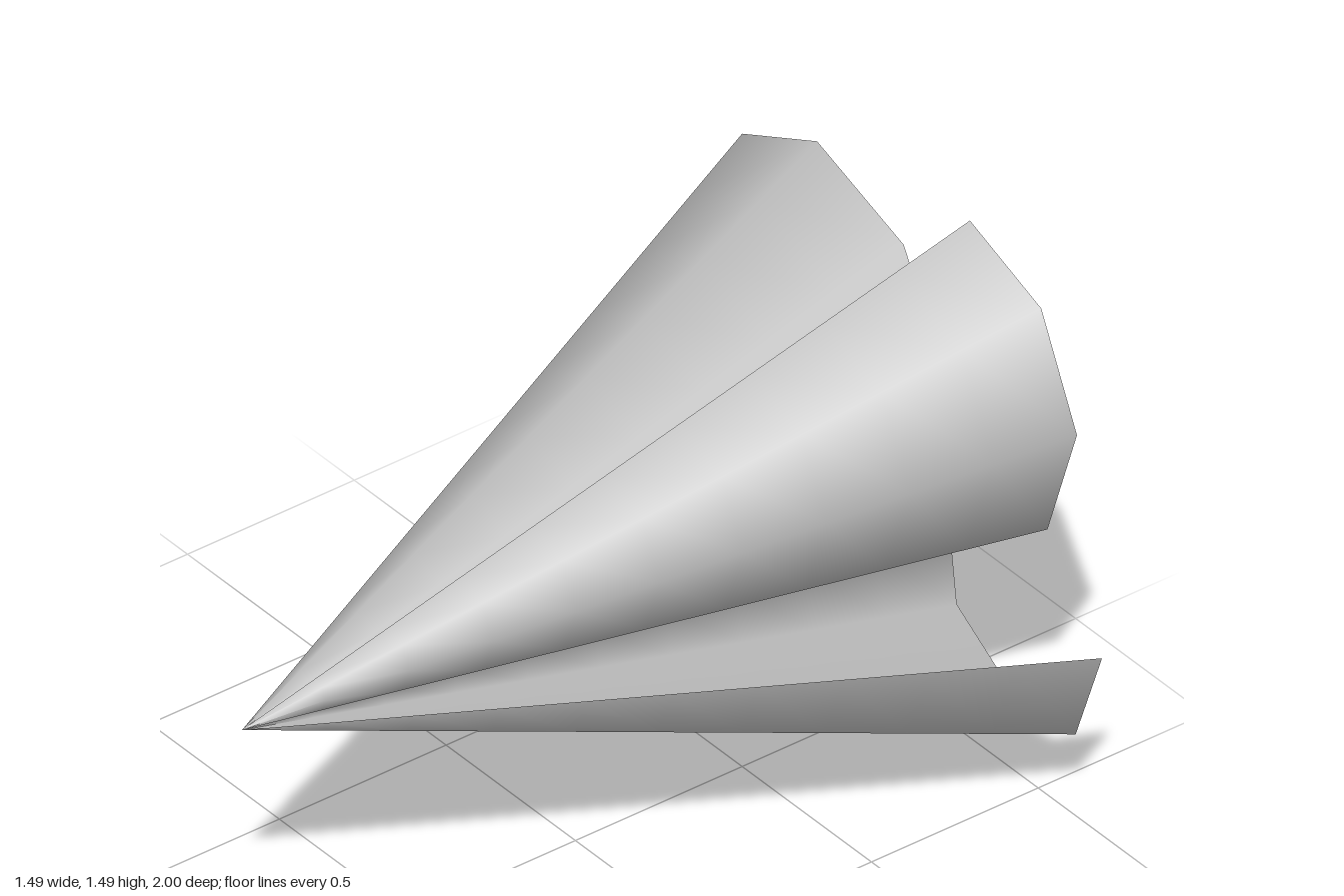
import * as THREE from 'three';

// One hooked blade of the section, running clockwise seen from the front
const BLADE = [
  [0.192, 0.159], [0.39, 0.185], [0.496, 0.354], [0.457, 0.589], // inside of the hook
  [0.236, 0.747],                                               // sharp tip
  [0.512, 0.645], [0.65, 0.355], [0.536, 0.02],                 // outside of the hook
];
const TIP = 4, RINGS = 10, CENTRE_Y = 0.747;

// The blade repeated four times by quarter turns
function sectionPoints() {
  const points = [];
  for (let k = 0; k < 4; k++) {
    for (const [px, py] of BLADE) {
      let x = px, y = py;
      for (let r = 0; r < k; r++) [x, y] = [y, -x];
      points.push(new THREE.Vector3(x, y, -1));
    }
  }
  return points;
}

// Straight sides from the section to the point, smooth except along the tips
function sideGeometry(points) {
  const apex = new THREE.Vector3(0, 0, 1);
  const n = points.length;
  const faceNormals = points.map((a, i) => {
    const b = points[(i + 1) % n];
    return apex.clone().sub(a).cross(b.clone().sub(a)).normalize();
  });
  const cornerNormal = (corner, face) => {
    if (corner % BLADE.length === TIP) return faceNormals[face];
    return faceNormals[(corner + n - 1) % n].clone().add(faceNormals[corner]).normalize();
  };
  const positions = [], normals = [];
  const put = (p, t, normal) => {
    positions.push(...p.clone().lerp(apex, t).toArray());
    normals.push(...normal.toArray());
  };
  for (let i = 0; i < n; i++) {
    const j = (i + 1) % n;
    const a = points[i], b = points[j];
    const na = cornerNormal(i, i), nb = cornerNormal(j, i);
    for (let r = 0; r < RINGS; r++) {
      const t0 = r / RINGS, t1 = (r + 1) / RINGS;
      put(b, t0, nb); put(a, t0, na); put(a, t1, na);
      if (r < RINGS - 1) { put(b, t0, nb); put(a, t1, na); put(b, t1, nb); }
    }
  }
  const geometry = new THREE.BufferGeometry();
  geometry.setAttribute('position', new THREE.Float32BufferAttribute(positions, 3));
  geometry.setAttribute('normal', new THREE.Float32BufferAttribute(normals, 3));
  return geometry;
}

export function createModel() {
  const group = new THREE.Group();
  group.name = 'flutedPoint';
  const grey = new THREE.MeshStandardMaterial({ color: 0xb8b8b8 });
  grey.name = 'grey';
  const points = sectionPoints();

  // Four curled blades meeting at the front point
  const blades = new THREE.Mesh(sideGeometry(points), grey);
  blades.name = 'blades';

  // Flat back face
  const outline = new THREE.Shape(points.map(p => new THREE.Vector2(-p.x, p.y)));
  const back = new THREE.Mesh(new THREE.ShapeGeometry(outline).rotateY(Math.PI), grey);
  back.name = 'backFace';
  back.position.z = -1;

  group.add(blades, back);
  group.children.forEach(part => { part.position.y = CENTRE_Y; });
  return group;
}
